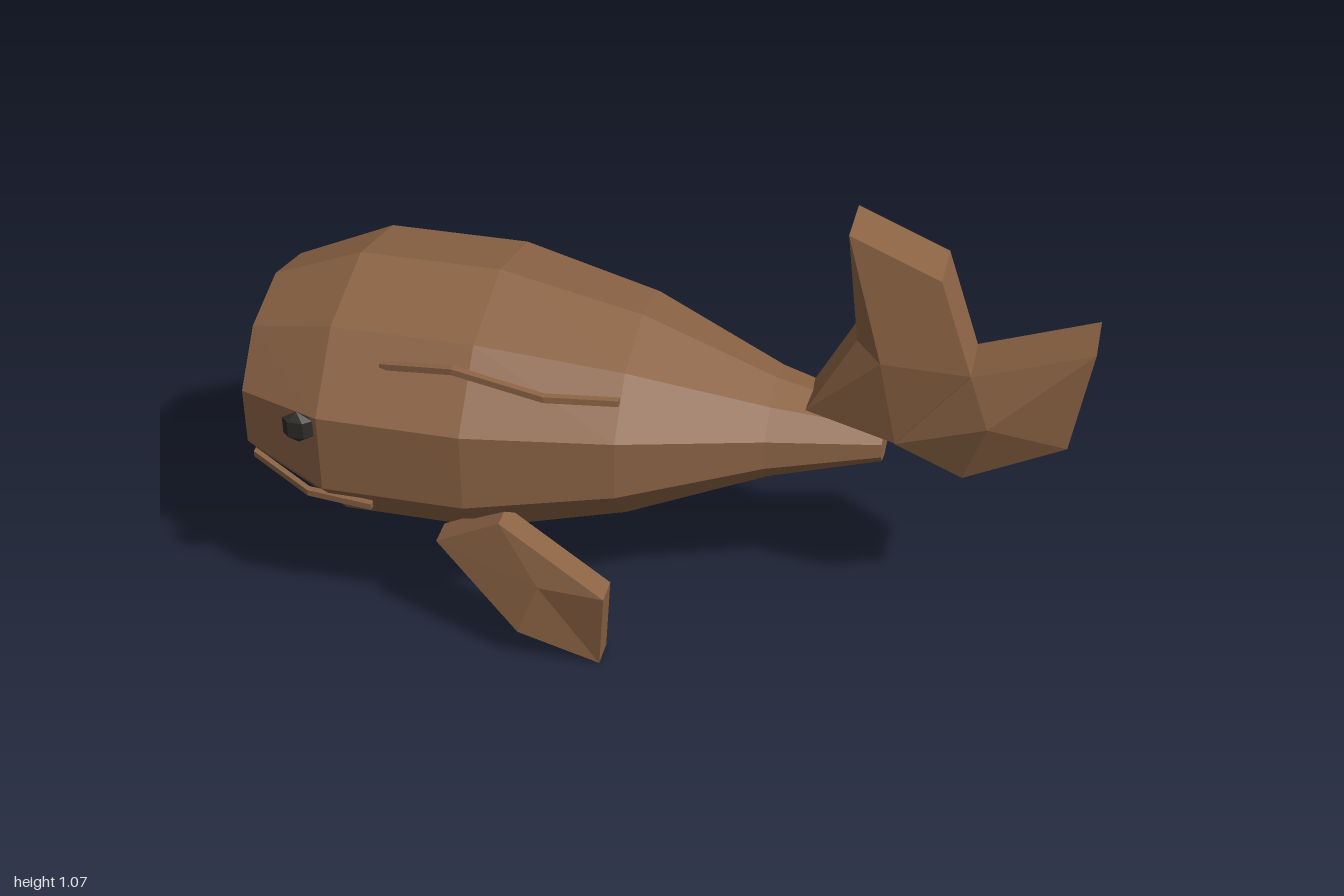
import * as THREE from 'three';

const V = (x, y, z) => new THREE.Vector3(x, y, z);
const skin = new THREE.MeshStandardMaterial({ color: 0x8b6344, flatShading: true });
const dark = new THREE.MeshStandardMaterial({ color: 0x2e2c28, flatShading: true });

// Skin a series of equal-sized rings and close both ends with a fan to an apex.
function loft(rings, startApex, endApex) {
  const n = rings[0].length, last = (rings.length - 1) * n;
  const points = [...rings.flat(), startApex, endApex];
  const s = points.length - 2, e = points.length - 1, index = [];
  for (let i = 0; i < n; i++) {
    const j = (i + 1) % n;
    for (let r = 0; r < last; r += n) {
      index.push(r + i, r + j, r + n + j, r + i, r + n + j, r + n + i);
    }
    index.push(s, j, i, e, last + i, last + j);
  }
  const geometry = new THREE.BufferGeometry().setFromPoints(points);
  geometry.setIndex(index);
  geometry.computeVertexNormals();
  return geometry;
}

// Thick plate: outline of [x, y, z], each face raised to a central point.
function plate(outline, half, [cx, cy, zBack, zFront]) {
  const ring = (d) => outline.map(([x, y, z = -0.004]) => V(x, y, z + d));
  return loft([ring(-half), ring(half)], V(cx, cy, zBack), V(cx, cy, zFront));
}

// Thin square bar through a few points running along +x.
function bar(path, h = 0.008) {
  const rings = path.map(([x, y, z]) =>
    [[h, -h], [h, h], [-h, h], [-h, -h]].map(([dy, dz]) => V(x, y + dy, z + dz)));
  return loft(rings, V(...path[0]), V(...path[path.length - 1]));
}

export function createModel() {
  const group = new THREE.Group();
  const add = (name, geometry, material = skin) => {
    const mesh = new THREE.Mesh(geometry, material);
    mesh.name = name;
    group.add(mesh);
    return mesh;
  };

  // Body: ten-sided sections as x, centre y, half height, half width
  const sections = [
    [-1, 0.5, 0.07, 0.09], [-0.94, 0.502, 0.233, 0.281], [-0.72, 0.502, 0.322, 0.391],
    [-0.38, 0.502, 0.322, 0.391], [-0.04, 0.504, 0.245, 0.302],
    [0.28, 0.5, 0.122, 0.152], [0.54, 0.5, 0.057, 0.07],
  ];
  const cz = -0.007;
  const rings = sections.map(([x, y, ry, rz]) => Array.from({ length: 10 }, (_, i) => {
    const a = (i * Math.PI) / 5;
    return V(x, y + ry * Math.cos(a), cz + rz * Math.sin(a));
  }));
  add('body', loft(rings, V(-1, 0.5, cz), V(0.54, 0.5, cz)));

  // Tail flukes
  add('upperFluke', plate(
    [[0.36, 0.59], [0.57, 0.53], [0.73, 0.74], [0.65, 0.98], [0.44, 1.07], [0.47, 0.8]],
    0.067, [0.53, 0.77, -0.11, 0.103]));
  add('rearFluke', plate(
    [[0.57, 0.53], [0.73, 0.46], [0.96, 0.58], [1, 0.84], [0.73, 0.74]],
    0.07, [0.78, 0.635, -0.125, 0.112]));

  // Single side fin
  add('sideFin', plate(
    [[-0.46, 0.27, 0.3], [-0.25, 0.085, 0.365], [-0.06, 0, 0.335],
      [-0.04, 0.22, 0.365], [-0.3, 0.36, 0.315]],
    0.034, [-0.2, 0.22, 0.278, 0.39]));

  // Eyes
  for (const [name, z] of [['leftEye', 0.372], ['rightEye', -0.383]]) {
    const eye = add(name, new THREE.SphereGeometry(1, 6, 3), dark);
    eye.scale.set(0.042, 0.042, 0.022);
    eye.position.set(-0.762, 0.578, z);
  }

  // Mouth lines on both sides and a ridge on the flank
  for (const [name, side] of [['leftMouth', 1], ['rightMouth', -1]]) {
    add(name, bar([[-0.93, 0.39, 0.255], [-0.77, 0.36, 0.335], [-0.61, 0.354, 0.347]]
      .map(([x, y, z]) => [x, y, side * z + cz])));
  }
  add('flankRidge', bar([[-0.59, 0.705, 0.267], [-0.41, 0.735, 0.292],
    [-0.2, 0.687, 0.285], [-0.04, 0.662, 0.228]]));

  return group;
}
